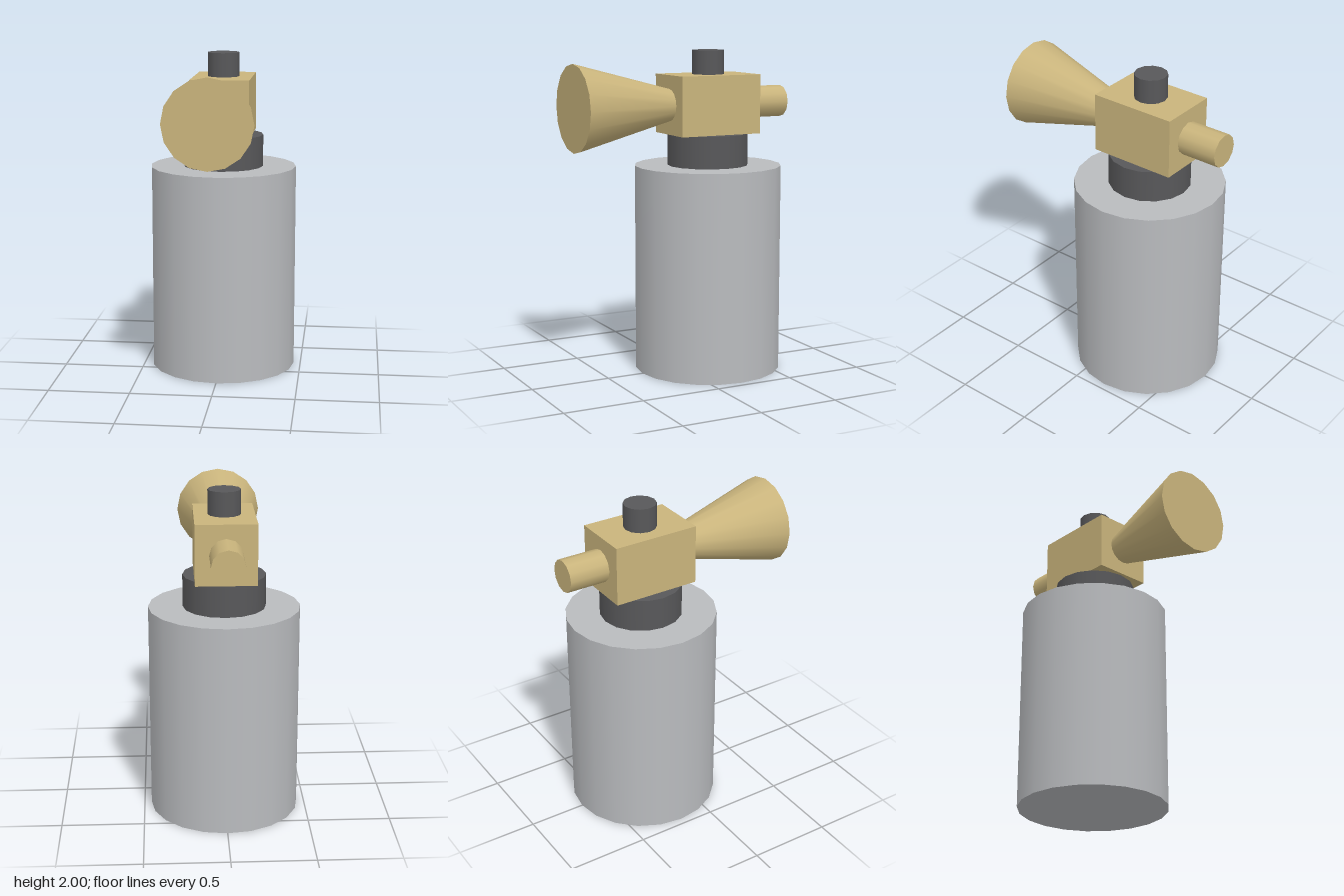
import * as THREE from 'three';

export function createModel() {
  const model = new THREE.Group();
  model.name = 'airHorn';

  const material = (name, color) => {
    const m = new THREE.MeshStandardMaterial({ color });
    m.name = name;
    return m;
  };
  const grey = material('canisterGrey', 0xb9bbbe);
  const dark = material('darkPlastic', 0x58585a);
  const brass = material('brass', 0xc9b47c);

  const axisZ = -0.19; // canister axis
  const hornY = 1.67; // horn axis height

  const add = (name, geometry, mat, y, z) => {
    const mesh = new THREE.Mesh(geometry, mat);
    mesh.name = name;
    mesh.position.set(0, y, z);
    model.add(mesh);
  };

  // Upright cylinder between two heights
  const upright = (name, mat, radius, y0, y1, sides) =>
    add(name, new THREE.CylinderGeometry(radius, radius, y1 - y0, sides), mat, (y0 + y1) / 2, axisZ);

  // Cylinder or cone lying along z, from back z0 to front z1
  const lying = (name, mat, backRadius, frontRadius, z0, z1, sides) =>
    add(name, new THREE.CylinderGeometry(frontRadius, backRadius, z1 - z0, sides).rotateX(Math.PI / 2),
      mat, hornY, (z0 + z1) / 2);

  // Gas canister, neck and push button
  upright('canister', grey, 0.457, 0, 1.29, 20);
  upright('neck', dark, 0.25, 1.29, 1.488, 16);
  upright('button', dark, 0.099, 1.85, 2, 12);

  // Valve block with the horn in front and the end tube behind
  add('valveBlock', new THREE.BoxGeometry(0.364, 0.364, 0.538), brass, hornY, axisZ);
  lying('hornBell', brass, 0.099, 0.265, 0.079, 0.71, 16);
  lying('rearTube', brass, 0.099, 0.099, -0.71, -0.459, 12);

  return model;
}
